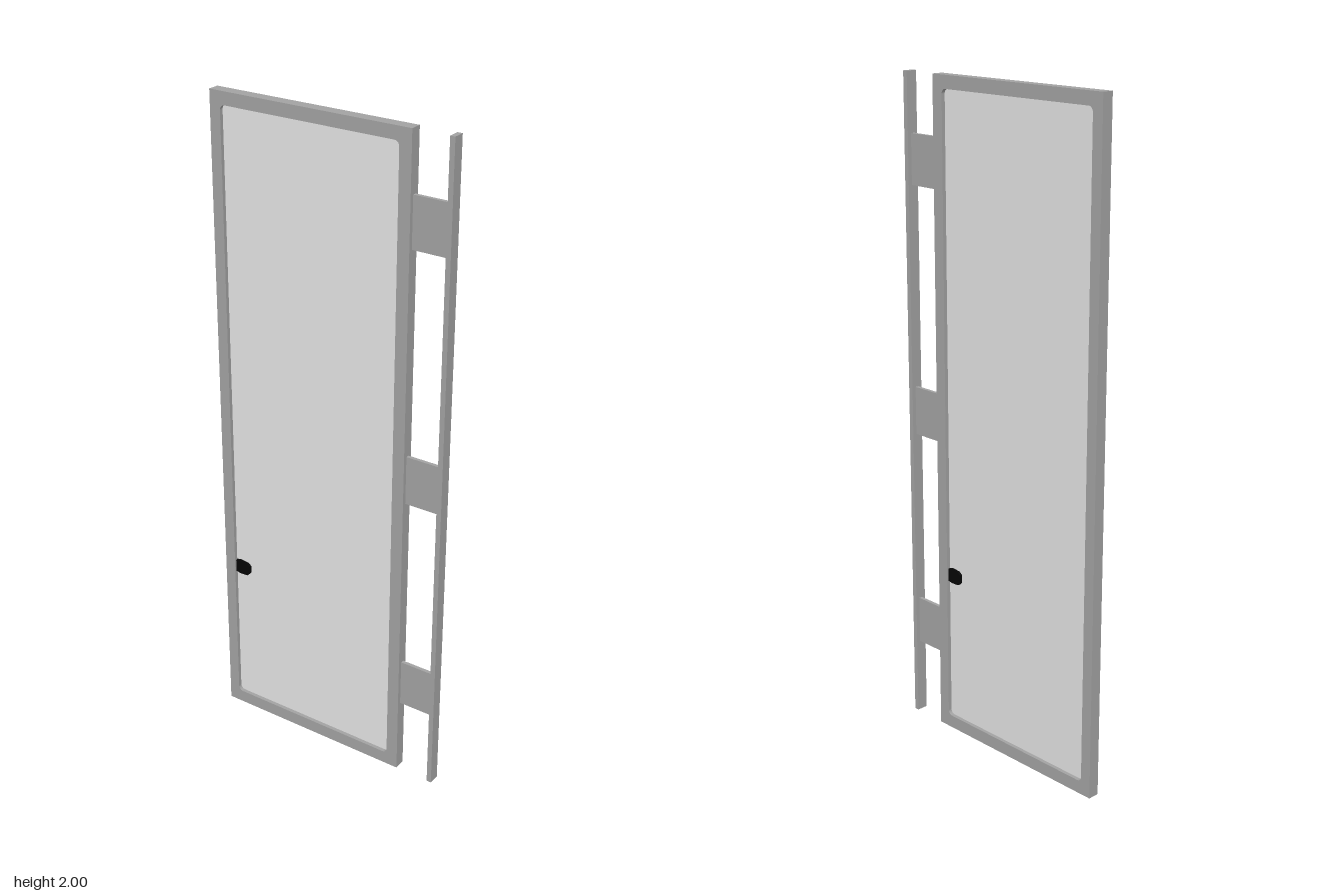
import * as THREE from 'three';

const frameGrey = new THREE.MeshStandardMaterial({ name: 'frameGrey', color: 0xa2a2a2 });
const panelGrey = new THREE.MeshStandardMaterial({ name: 'panelGrey', color: 0xe2e2e2 });
const black = new THREE.MeshStandardMaterial({ name: 'black', color: 0x050505 });

const DEPTH = 0.035;
const LEFT = -0.38, RIGHT = 0.257;
const IN = { x0: -0.346, x1: 0.22, y0: 0.04, y1: 1.962 };

// Box given by its limits in x and y, centred on z = 0
function slab(name, x0, x1, y0, y1, depth, material) {
  const mesh = new THREE.Mesh(new THREE.BoxGeometry(x1 - x0, y1 - y0, depth), material);
  mesh.position.set((x0 + x1) / 2, (y0 + y1) / 2, 0);
  mesh.name = name;
  return mesh;
}

// Flat outline extruded from z0 to z1
function plate(name, shape, z0, z1, material) {
  const geometry = new THREE.ExtrudeGeometry(shape, { depth: z1 - z0, bevelEnabled: false, curveSegments: 5 });
  geometry.translate(0, 0, z0);
  const mesh = new THREE.Mesh(geometry, material);
  mesh.name = name;
  return mesh;
}

function roundedRect(path, { x0, x1, y0, y1 }, r) {
  path.absarc(x1 - r, y0 + r, r, -Math.PI / 2, 0);
  path.absarc(x1 - r, y1 - r, r, 0, Math.PI / 2);
  path.absarc(x0 + r, y1 - r, r, Math.PI / 2, Math.PI);
  path.absarc(x0 + r, y0 + r, r, Math.PI, Math.PI * 1.5);
  path.closePath();
  return path;
}

export function createModel() {
  const model = new THREE.Group();
  model.name = 'hingedPanelDoor';

  // Door frame with a softly rounded opening
  const outline = new THREE.Shape([
    new THREE.Vector2(LEFT, 0), new THREE.Vector2(RIGHT, 0),
    new THREE.Vector2(RIGHT, 2), new THREE.Vector2(LEFT, 2),
  ]);
  outline.holes.push(roundedRect(new THREE.Path(), IN, 0.015));
  model.add(plate('doorFrame', outline, -DEPTH / 2, DEPTH / 2, frameGrey));

  // Recessed panel, its edges tucked into the frame
  model.add(slab('panel', IN.x0 - 0.005, IN.x1 + 0.005, IN.y0 - 0.005, IN.y1 + 0.005, 0.012, panelGrey));

  // Side post and the brackets that hold it
  model.add(slab('sidePost', 0.365, 0.38, 0, 2, DEPTH, frameGrey));
  for (const y of [0.312, 1.0, 1.752]) {
    model.add(slab('bracket', RIGHT - 0.002, 0.367, y - 0.074, y + 0.074, 0.011, frameGrey));
  }

  // Latch on each face, the back one turned half round the panel's centre
  const latchShape = new THREE.Shape([
    [0, -0.02], [0.015, -0.023], [0.042, -0.022], [0.052, -0.012],
    [0.052, 0.012], [0.042, 0.02], [0.015, 0.023], [0, 0.02],
  ].map(([x, y]) => new THREE.Vector2(x, y)));
  for (const [name, x, turn] of [['frontLatch', IN.x0 + 0.002, 0], ['backLatch', IN.x1 - 0.002, Math.PI]]) {
    const latch = plate(name, latchShape, 0.005, 0.014, black);
    latch.position.set(x, 0.513, 0);
    latch.rotation.y = turn;
    model.add(latch);
  }

  return model;
}
